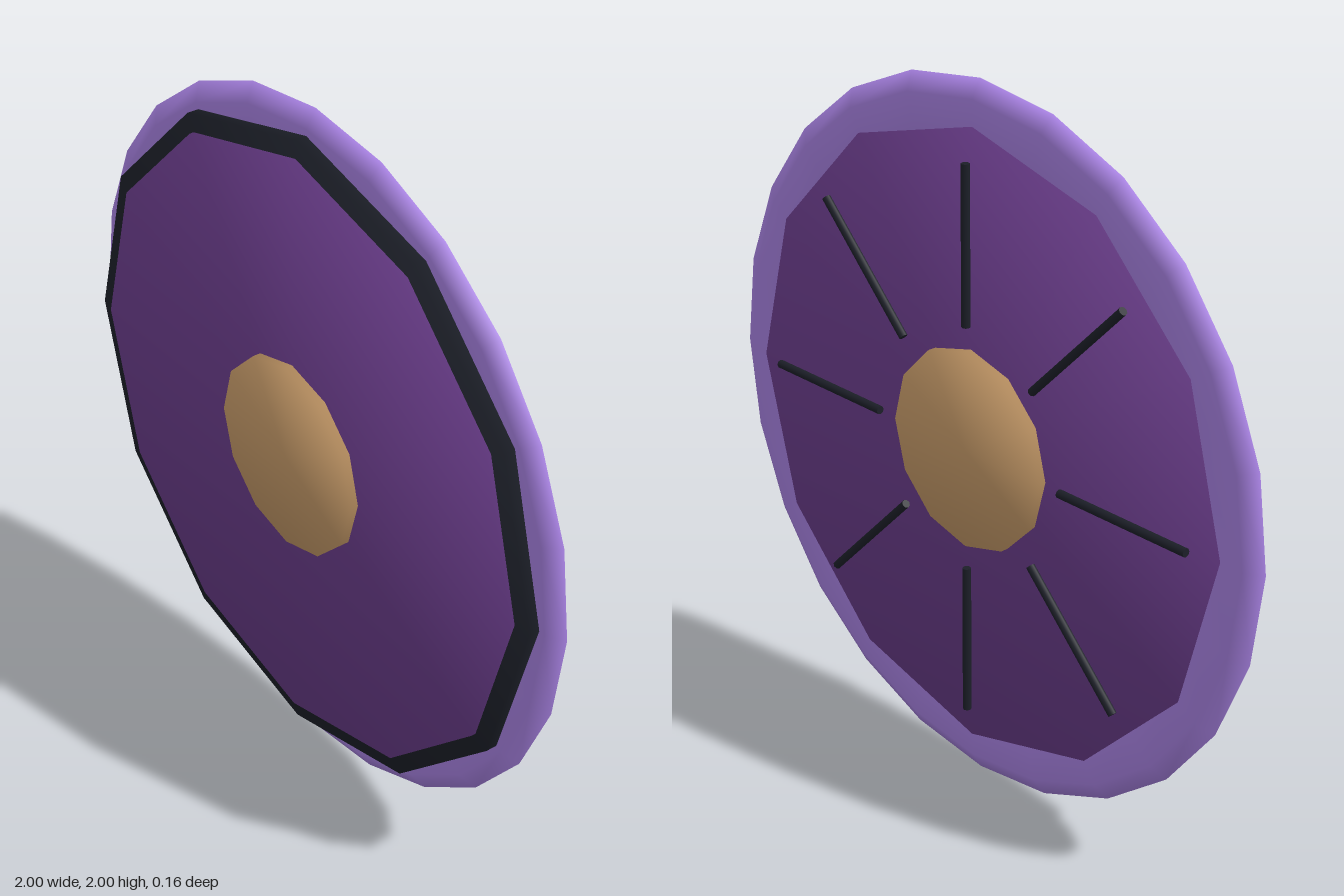
import * as THREE from 'three';
import { mergeVertices } from 'three/addons/utils/BufferGeometryUtils.js';

const SIDES = 12;

function part(name, geometry, color) {
  const mesh = new THREE.Mesh(geometry, new THREE.MeshStandardMaterial({ color }));
  mesh.name = name;
  return mesh;
}

// Twelve-sided slab along z whose normals blend softly over the rim
function softSlab(radius, back, front) {
  let g = new THREE.CylinderGeometry(radius, radius, front - back, SIDES);
  g.rotateX(Math.PI / 2);
  g.deleteAttribute('normal');
  g.deleteAttribute('uv');
  g = mergeVertices(g, 1e-4);
  const p = g.attributes.position;
  const normals = new Float32Array(p.count * 3);
  const n = new THREE.Vector3();
  for (let i = 0; i < p.count; i++) {
    n.set(p.getX(i) / radius, p.getY(i) / radius, Math.sign(p.getZ(i))).normalize();
    n.toArray(normals, i * 3);
  }
  g.setAttribute('normal', new THREE.BufferAttribute(normals, 3));
  g.translate(0, 0, (front + back) / 2);
  return g;
}

export function createModel() {
  const model = new THREE.Group();
  model.name = 'roundShield';
  const shield = new THREE.Group();
  shield.name = 'shieldBody';
  shield.position.y = 1;
  model.add(shield);

  // Main plate, dark band around its front and central boss
  shield.add(part('plate', softSlab(0.88, -0.05, 0.057), 0x6b3d8c));
  shield.add(part('darkBand', softSlab(0.932, 0, 0.044), 0x1c1f28));
  shield.add(part('boss', softSlab(0.282, -0.073, 0.08), 0xc79b69));

  // Flattened hexagonal rim
  const rim = new THREE.TorusGeometry(0.9, 0.1, 6, 24);
  rim.scale(1, 1, 0.325);
  rim.translate(0, 0, -0.017);
  shield.add(part('rim', rim, 0xa680e0));

  // Eight thin radial ribs on the back
  const ribs = new THREE.Group();
  ribs.name = 'backRibs';
  for (let i = 0; i < 8; i++) {
    const g = new THREE.CylinderGeometry(0.012, 0.012, 0.44, 8);
    g.translate(0, 0.57, -0.068);
    g.rotateZ((i * Math.PI) / 4);
    ribs.add(part('rib' + (i + 1), g, 0x1c1f28));
  }
  shield.add(ribs);

  return model;
}
